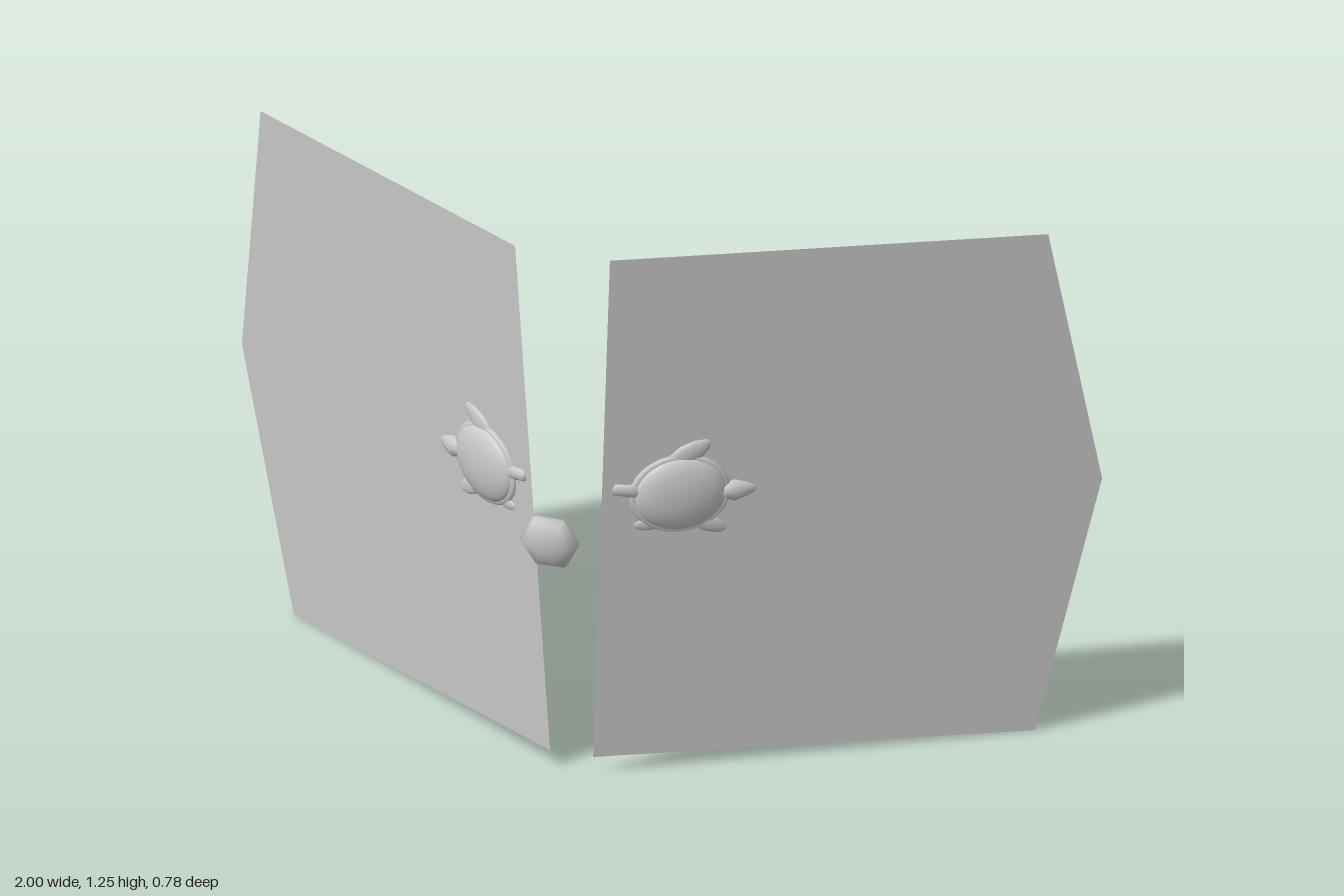
import * as THREE from 'three';

const smooth = new THREE.MeshStandardMaterial({ color: 0xcccccc });
const thin = new THREE.MeshStandardMaterial({ color: 0xcccccc, side: THREE.DoubleSide });

function add(parent, name, geometry, material = smooth) {
  const mesh = new THREE.Mesh(geometry, material);
  mesh.name = name;
  parent.add(mesh);
  return mesh;
}

// Flattened, tapering limb lying in the local xy plane, from point a to point b
function limb(parent, name, a, b, profile, flatness) {
  const dx = b[0] - a[0], dy = b[1] - a[1], len = Math.hypot(dx, dy);
  const points = profile.map(([r, t]) => new THREE.Vector2(r, t * len));
  const geometry = new THREE.LatheGeometry(points, 10);
  geometry.scale(1, 1, flatness);
  const mesh = add(parent, name, geometry);
  mesh.position.set(a[0], a[1], 0);
  mesh.rotation.z = Math.atan2(dy, dx) - Math.PI / 2;
  return mesh;
}

// Turtle centred on its shell, head towards +x, lying in the xy plane
function makeTurtle() {
  const turtle = new THREE.Group();
  turtle.name = 'turtle';
  add(turtle, 'shell', new THREE.SphereGeometry(1, 24, 16).scale(0.105, 0.088, 0.032));
  add(turtle, 'shellRim', new THREE.TorusGeometry(0.1, 0.011, 8, 28).scale(1.03, 0.85, 0.7));

  limb(turtle, 'head', [0.085, 0], [0.172, 0.002],
    [[0, 0], [0.017, 0.02], [0.02, 0.25], [0.026, 0.42], [0.018, 0.7], [0.009, 0.94], [0, 1]], 0.75);
  limb(turtle, 'tail', [-0.08, 0.008], [-0.152, 0.018],
    [[0, 0], [0.022, 0.05], [0.015, 0.5], [0.013, 0.95], [0, 1]], 0.6);

  const flipper = [[0, 0], [0.02, 0.1], [0.027, 0.4], [0.023, 0.7], [0.012, 0.93], [0, 1]];
  limb(turtle, 'upperFlipper', [-0.03, 0.068], [0.063, 0.122], flipper, 0.35);
  limb(turtle, 'lowerFlipper', [0.03, -0.062], [0.11, -0.094], flipper.map(([r, t]) => [r * 0.75, t]), 0.35);
  limb(turtle, 'hindFoot', [-0.035, -0.068], [-0.1, -0.074], flipper.map(([r, t]) => [r * 0.6, t]), 0.35);
  return turtle;
}

function makeSide(name) {
  const side = new THREE.Group();
  side.name = name;

  // Axes of the leaning panel: out along its width, up along its height, normal to the front
  const origin = new THREE.Vector3(0.05, 0.045, 0.22);
  const out = new THREE.Vector3(0.81, -0.04, -0.56);
  const up = new THREE.Vector3(0.06, 1.21, 0.055);
  const e1 = out.clone().normalize();
  const e3 = out.clone().cross(up).normalize();
  const e2 = e3.clone().cross(e1);
  const frame = new THREE.Group();
  frame.name = 'panelFrame';
  frame.quaternion.setFromRotationMatrix(new THREE.Matrix4().makeBasis(e1, e2, e3));
  frame.position.copy(origin);
  side.add(frame);

  const local = (x, y, z) => {
    const d = new THREE.Vector3(x, y, z).sub(origin);
    return new THREE.Vector2(d.dot(e1), d.dot(e2));
  };

  // Flat five-cornered panel
  const outline = [
    local(0.05, 0.045, 0.22), local(0.86, 0.005, -0.34), local(1.0, 0.605, -0.385),
    local(0.915, 1.215, -0.28), local(0.11, 1.255, 0.275),
  ];
  add(frame, 'panel', new THREE.ShapeGeometry(new THREE.Shape(outline)), thin);

  // Turtle set half into the panel
  const turtle = makeTurtle();
  const centre = local(0.228, 0.67, 0.155);
  turtle.position.set(centre.x, centre.y, 0);
  frame.add(turtle);

  // Hair-thin fins standing on the back of the panel
  const start = local(0.2, 0.79, 0.18);
  for (const end of [local(0.55, 0.953, -0.05), local(0.636, 0.703, -0.131)]) {
    const from = start.clone().lerp(end, 0.02);
    if (end.y < start.y) from.y -= 0.03;
    const fin = add(frame, 'backFin', new THREE.PlaneGeometry(from.distanceTo(end), 0.004).rotateX(Math.PI / 2), thin);
    fin.position.set((from.x + end.x) / 2, (from.y + end.y) / 2, -0.002);
    fin.rotation.z = Math.atan2(end.y - from.y, end.x - from.x);
  }
  return side;
}

export function createModel() {
  const model = new THREE.Group();
  model.name = 'model';

  const left = makeSide('leftSide');
  const right = makeSide('rightSide');
  right.scale.x = -1;
  model.add(left, right);

  // Six-sided bead floating in front of the gap
  const bead = add(model, 'bead', new THREE.SphereGeometry(0.068, 6, 8).rotateX(Math.PI / 2).scale(1, 1, 0.53));
  bead.position.set(0, 0.603, 0.351);
  bead.rotation.x = 0.2;
  return model;
}
